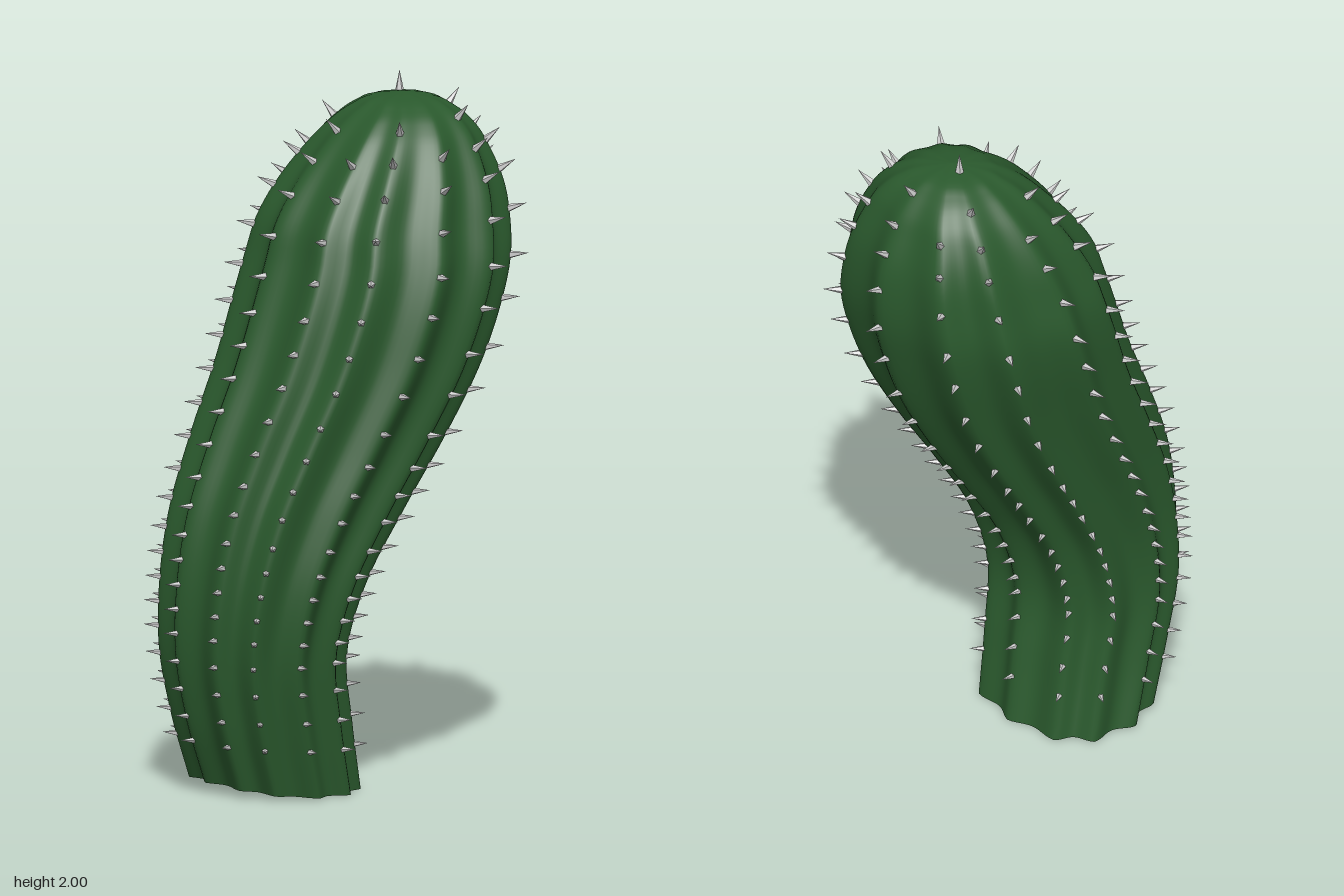
import * as THREE from 'three';

const { lerp, smoothstep, degToRad } = THREE.MathUtils;
const TOP = 1.945;
const SIDES_PER_RIB = 12;

// Directions of the rib crests around the stem, in degrees from +x towards +z
const CRESTS = [3, 37, 62, 92, 124, 149, 180, 211, 237, 266, 301, 327];
const RIBS = CRESTS.length;

// Body sections: height, left edge, right edge (x), back edge, front edge (z)
const SECTIONS = [
  [0.0, -0.39, 0.05, -0.297, 0.222],
  [0.2, -0.455, 0.012, -0.29, 0.245],
  [0.4, -0.5, -0.015, -0.295, 0.27],
  [0.6, -0.505, 0.04, -0.3, 0.3],
  [0.8, -0.475, 0.16, -0.315, 0.325],
  [1.0, -0.405, 0.29, -0.335, 0.35],
  [1.2, -0.32, 0.4, -0.355, 0.375],
  [1.4, -0.245, 0.475, -0.375, 0.385],
  [1.5, -0.21, 0.5, -0.372, 0.375],
  [1.6, -0.178, 0.507, -0.348, 0.347],
  [1.7, -0.115, 0.495, -0.315, 0.312],
  [1.8, -0.03, 0.455, -0.26, 0.26],
  [1.86, 0.03, 0.42, -0.21, 0.215],
  [1.91, 0.1, 0.365, -0.145, 0.15],
  [1.935, 0.16, 0.31, -0.08, 0.08],
  [TOP, 0.24, 0.24, 0, 0],
];
const section = new THREE.CubicInterpolant(
  SECTIONS.map((s) => s[0]),
  SECTIONS.flatMap((s) => s.slice(1)),
  4,
  new Float32Array(4)
);

// Spike heights on the left and right flanks; the other ribs blend between them
const SPIKES_LEFT = [0.15, 0.23, 0.31, 0.39, 0.47, 0.54, 0.61, 0.68, 0.75, 0.83, 0.91,
  1.0, 1.09, 1.18, 1.27, 1.36, 1.46, 1.57, 1.68, 1.77, 1.85];
const SPIKES_RIGHT = [0.13, 0.22, 0.31, 0.39, 0.44, 0.5, 0.56, 0.62, 0.69, 0.77, 0.84,
  0.91, 1.0, 1.12, 1.24, 1.38, 1.5, 1.63, 1.74, 1.82, 1.9];

// Angle for a rib coordinate: whole numbers are crests, halves are valleys
function ribAngle(u) {
  const i = Math.floor(u) % RIBS;
  const next = i + 1 < RIBS ? CRESTS[i + 1] : CRESTS[0] + 360;
  return degToRad(lerp(CRESTS[i], next, u % 1));
}

// Point on the ribbed surface at a height and rib coordinate
function surfacePoint(y, u) {
  const [x0, x1, z0, z1] = section.evaluate(y);
  const angle = ribAngle(u);
  const cos = Math.cos(angle);
  const sin = Math.sin(angle);
  // the outline is fuller than an ellipse on the right side
  const n = lerp(2.08, lerp(2.5, 2.38, y / TOP), smoothstep(cos, -0.5, 0.7));
  const outline = Math.pow(Math.abs(cos) ** n + Math.abs(sin) ** n, -1 / n);
  const depth = lerp(0.115, 0.095, smoothstep(y, 0.8, 1.6)) - 0.045 * smoothstep(y, 1.65, 1.93);
  const r = outline * (1 - depth * Math.pow(Math.abs(Math.sin(u * Math.PI)), 1.5));
  // the cut edge rises a little on the left
  const lift = 0.03 * Math.max(0, 1 - y / 0.2) * Math.pow((1 - cos) / 2, 3);
  return new THREE.Vector3(
    (x0 + x1) / 2 + ((x1 - x0) / 2) * r * cos,
    y + lift,
    (z0 + z1) / 2 + ((z1 - z0) / 2) * r * sin
  );
}

function bodyGeometry() {
  const rows = 72;
  const sides = RIBS * SIDES_PER_RIB;
  const positions = [];
  const index = [];
  for (let i = 0; i <= rows; i++) {
    // rows crowd together towards the rounded top
    const y = TOP * Math.sin((i / rows) * Math.PI / 2);
    for (let j = 0; j < sides; j++) {
      positions.push(...surfacePoint(y, j / SIDES_PER_RIB).toArray());
      if (i === rows) continue;
      const a = i * sides + j;
      const b = i * sides + ((j + 1) % sides);
      index.push(a, a + sides, b, b, a + sides, b + sides);
    }
  }
  const geometry = new THREE.BufferGeometry();
  geometry.setAttribute('position', new THREE.Float32BufferAttribute(positions, 3));
  geometry.setIndex(index);
  geometry.computeVertexNormals();
  return geometry;
}

export function createModel() {
  const model = new THREE.Group();
  model.name = 'cactus';

  // Ribbed hollow stem, open at the bottom
  const green = new THREE.MeshStandardMaterial({ color: 0x2a592d, side: THREE.DoubleSide });
  const body = new THREE.Mesh(bodyGeometry(), green);
  body.name = 'ribbedStem';
  model.add(body);

  // Spikes along the rib crests, growing larger towards the top
  const spikes = new THREE.Group();
  spikes.name = 'spikes';
  model.add(spikes);
  const spikeGeometry = new THREE.ConeGeometry(0.013, 0.06, 5);
  spikeGeometry.translate(0, 0.022, 0);
  const grey = new THREE.MeshStandardMaterial({ color: 0xcccccc, flatShading: true });
  const up = new THREE.Vector3(0, 1, 0);
  const addSpike = (point, direction) => {
    const spike = new THREE.Mesh(spikeGeometry, grey);
    spike.name = 'spike';
    spike.position.copy(point);
    spike.quaternion.setFromUnitVectors(up, direction.normalize());
    spike.scale.setScalar(lerp(0.7, 1.05, point.y / TOP));
    spikes.add(spike);
  };

  for (let rib = 0; rib < RIBS; rib++) {
    const angle = ribAngle(rib);
    const side = (1 + Math.cos(angle)) / 2;
    SPIKES_LEFT.forEach((left, i) => {
      // the last ring skips every other rib, where the crests crowd together
      if (i === SPIKES_LEFT.length - 1 && rib % 2) return;
      const y = lerp(left, SPIKES_RIGHT[i], side);
      const rise = 0.08 + 4.5 * Math.pow(Math.max(0, y - 1.45), 1.7);
      addSpike(surfacePoint(y, rib), new THREE.Vector3(Math.cos(angle), rise, Math.sin(angle)));
    });
  }
  addSpike(new THREE.Vector3(0.25, 1.943, -0.04), up.clone());

  return model;
}
